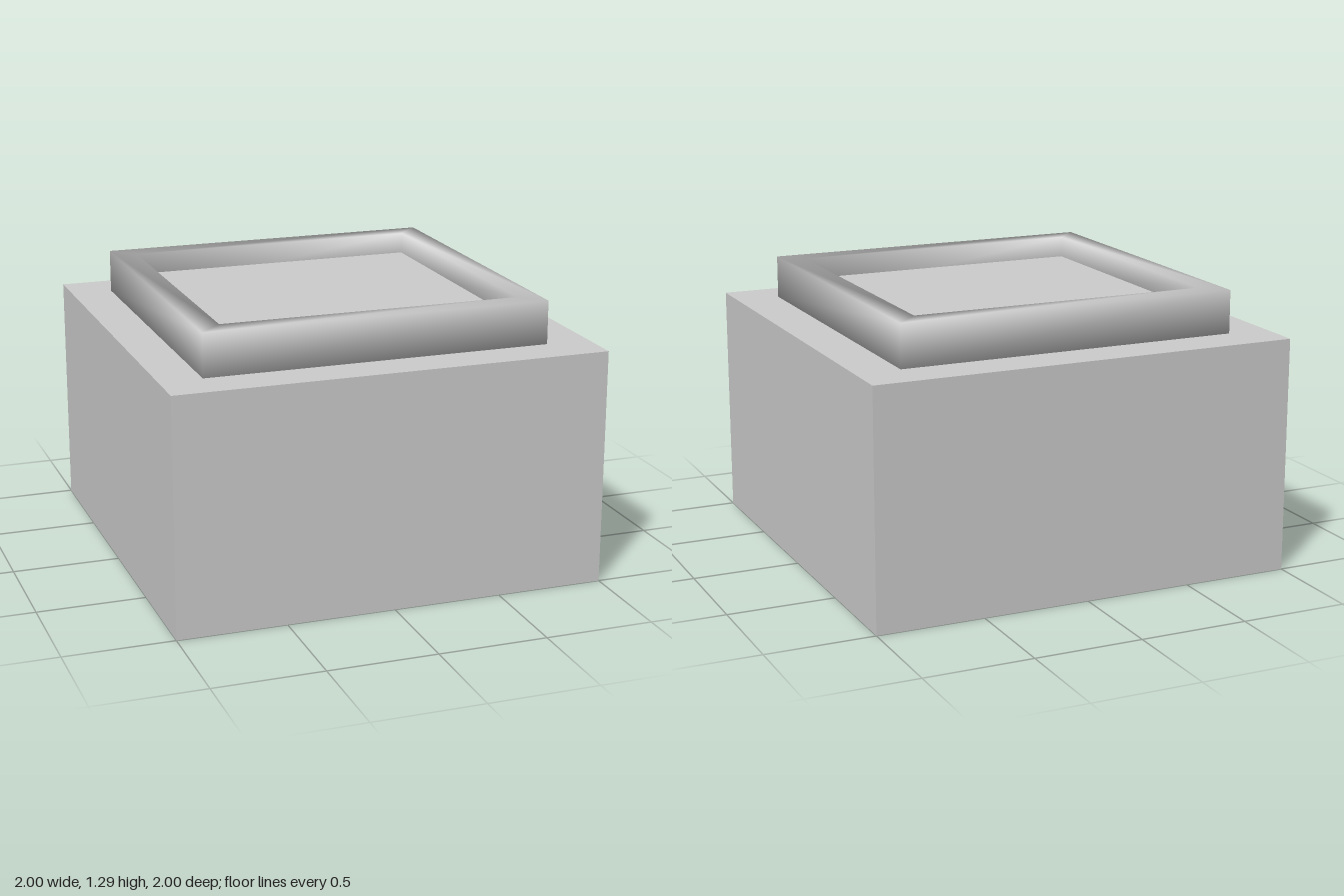
import * as THREE from 'three';

// Square ring with shared corners, so its normals blend softly around the edges
function squareRing(outer, inner, bottom, top) {
  const profile = [[outer, bottom], [outer, top], [inner, top], [inner, bottom]];
  const corners = [[-1, 1], [1, 1], [1, -1], [-1, -1]];
  const positions = [];
  const index = [];
  corners.forEach(([sx, sz], c) => {
    const next = (c + 1) % 4;
    profile.forEach(([r, y], p) => {
      positions.push(sx * r, y, sz * r);
      const q = (p + 1) % 4;
      const a = c * 4 + p, b = next * 4 + p, d = next * 4 + q, e = c * 4 + q;
      index.push(a, b, d, a, d, e);
    });
  });
  const geometry = new THREE.BufferGeometry();
  geometry.setAttribute('position', new THREE.Float32BufferAttribute(positions, 3));
  geometry.setIndex(index);
  geometry.computeVertexNormals();
  return geometry;
}

export function createModel() {
  const model = new THREE.Group();
  model.name = 'pedestalBlock';
  const grey = new THREE.MeshStandardMaterial({ color: 0xcccccc });
  grey.name = 'lightGrey';

  const add = (name, geometry, x, y, z) => {
    const mesh = new THREE.Mesh(geometry, grey);
    mesh.name = name;
    mesh.position.set(x, y, z);
    model.add(mesh);
  };

  // Main block
  add('body', new THREE.BoxGeometry(2, 1.09, 2), 0, 0.545, 0);

  // Raised rim, set very slightly off centre
  add('rim', squareRing(0.8, 0.693, 1.09, 1.29), -0.006, 0, 0.004);

  // Recessed panel inside the rim
  add('panel', new THREE.BoxGeometry(1.386, 0.1, 1.386), -0.006, 1.14, 0.004);

  return model;
}
